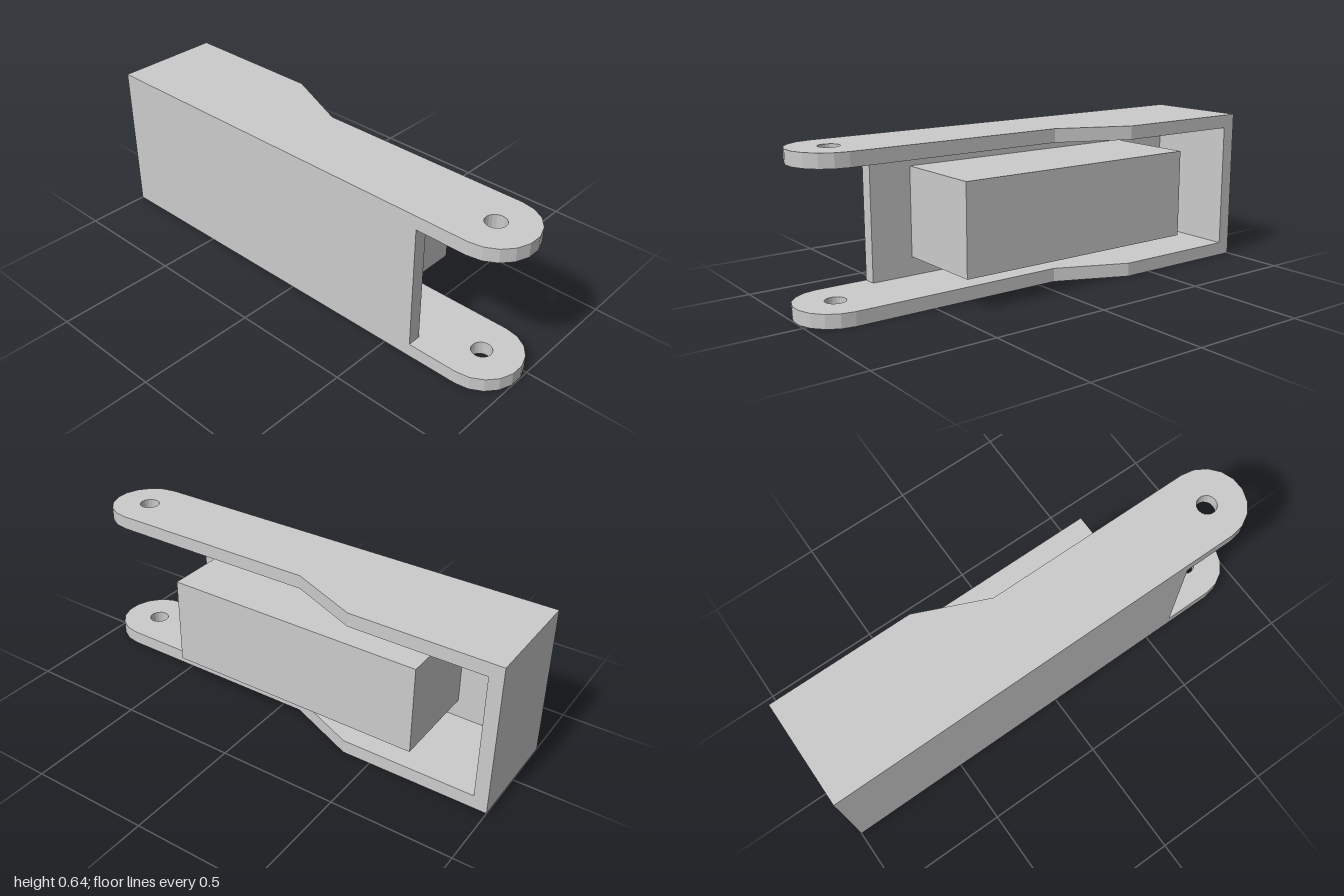
import * as THREE from 'three';

const H = 0.642, T = 0.057, D = 0.228;   // height, wall thickness, half depth
const material = new THREE.MeshStandardMaterial({ color: 0xcccccc, flatShading: true });

// Box given by its lower and upper corners
function box(name, [x0, y0, z0], [x1, y1, z1]) {
  const geometry = new THREE.BoxGeometry(x1 - x0, y1 - y0, z1 - z0);
  geometry.translate((x0 + x1) / 2, (y0 + y1) / 2, (z0 + z1) / 2);
  const mesh = new THREE.Mesh(geometry, material);
  mesh.name = name;
  return mesh;
}

// Side plate: stepped outline with a rounded, drilled end (shape y is -z)
function plateGeometry() {
  const r = 0.163, cx = 1 - r, cy = r - D, steps = 9;
  const points = [new THREE.Vector2(-1, -D)];
  for (let i = 0; i <= steps; i++) {
    const a = -Math.PI / 2 + (Math.PI * i) / steps;
    points.push(new THREE.Vector2(cx + r * Math.cos(a), cy + r * Math.sin(a)));
  }
  points.push(
    new THREE.Vector2(-0.08, cy + r),
    new THREE.Vector2(-0.38, D),
    new THREE.Vector2(-1, D)
  );
  const shape = new THREE.Shape(points);
  shape.holes.push(new THREE.Path().absarc(cx, cy, 0.042, 0, Math.PI * 2, true));
  const geometry = new THREE.ExtrudeGeometry(shape, { depth: T, bevelEnabled: false, curveSegments: 9 });
  return geometry.rotateX(-Math.PI / 2);
}

export function createModel() {
  const model = new THREE.Group();
  model.name = 'clevisBracket';

  // Lower and upper plates
  const geometry = plateGeometry();
  for (const [name, y] of [['lowerPlate', 0], ['upperPlate', H - T]]) {
    const plate = new THREE.Mesh(geometry, material);
    plate.name = name;
    plate.position.y = y;
    model.add(plate);
  }

  // Walls joining the plates, and the block fixed to the front wall
  model.add(
    box('frontWall', [-1, T, D - T], [0.62, H - T, D]),
    box('endWall', [-1, T, -D], [-1 + T, H - T, D - T]),
    box('innerBlock', [-0.67, 0.135, -D], [0.44, 0.508, D - T])
  );
  return model;
}
